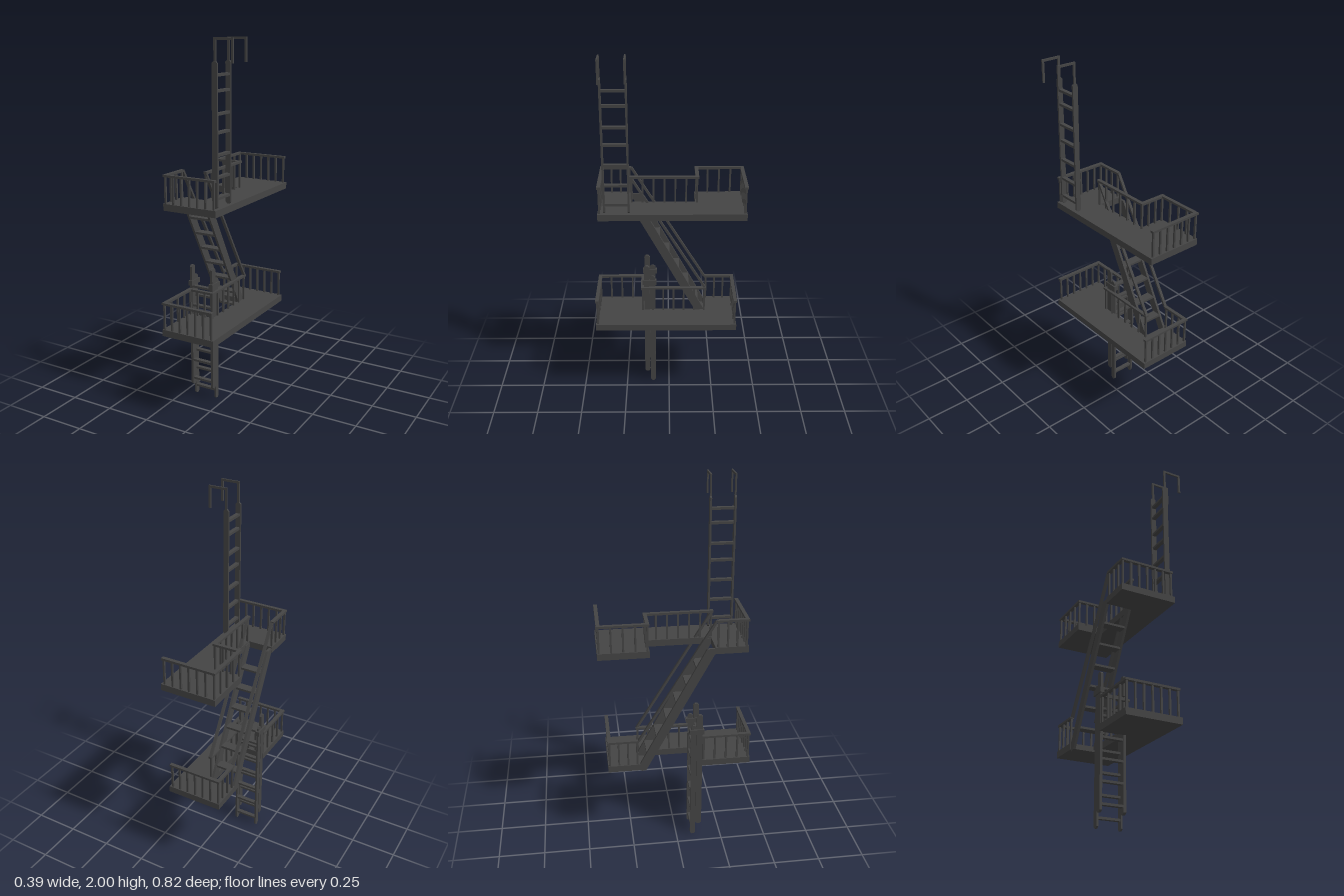
import * as THREE from 'three';

const metal = new THREE.MeshStandardMaterial({ color: 0x444444 });

function add(parent, name, geometry, x = 0, y = 0, z = 0) {
  const mesh = new THREE.Mesh(geometry, metal);
  mesh.name = name;
  mesh.position.set(x, y, z);
  parent.add(mesh);
  return mesh;
}

function group(parent, name) {
  const g = new THREE.Group();
  g.name = name;
  parent.add(g);
  return g;
}

const box = (w, h, d) => new THREE.BoxGeometry(w, h, d);

// Square bar between two points
function bar(parent, name, a, b, w, h) {
  const from = new THREE.Vector3(...a), to = new THREE.Vector3(...b);
  const mesh = add(parent, name, box(w, h, from.distanceTo(to)));
  mesh.position.copy(from).lerp(to, 0.5);
  mesh.lookAt(to);
  return mesh;
}

// Extrudes a side profile of [z, y] points along x, centred on x = 0
function sideProfile(points, width) {
  const shape = new THREE.Shape(points.map(p => new THREE.Vector2(...p)));
  return new THREE.ExtrudeGeometry(shape, { depth: width, bevelEnabled: false })
    .rotateY(-Math.PI / 2).translate(width / 2, 0, 0);
}

// Upright with chamfered ends
function stile(width, depth, y0, y1) {
  const d = depth / 2, c = depth * 0.3;
  return sideProfile([[-d, y0 + c], [-d + c, y0], [d - c, y0], [d, y0 + c],
    [d, y1 - c], [d - c, y1], [-d + c, y1], [-d, y1 - c]], width);
}

// Top rail with evenly spaced balusters between two [x, z] ends
function railing(parent, a, b, floor, count) {
  const top = floor + 0.15;
  const dir = new THREE.Vector2(b[0] - a[0], b[1] - a[1]).normalize().multiplyScalar(0.01);
  bar(parent, 'topRail', [a[0] - dir.x, top - 0.006, a[1] - dir.y],
    [b[0] + dir.x, top - 0.006, b[1] + dir.y], 0.02, 0.012);
  for (let i = 0; i < count; i++) {
    const t = i / (count - 1);
    add(parent, 'baluster', box(0.01, 0.145, 0.01),
      a[0] + (b[0] - a[0]) * t, floor + 0.0695, a[1] + (b[1] - a[1]) * t);
  }
}

// Notched platform with railings; s = -1 mirrors it front to back
function platform(root, name, floor, s) {
  const g = group(root, name);
  const outline = [[-0.194, -0.408], [0.117, -0.408], [0.117, 0.374], [-0.194, 0.374],
    [-0.194, 0.2], [-0.055, 0.2], [-0.055, -0.14], [-0.194, -0.14]];
  const shape = new THREE.Shape(outline.map(([x, z]) => new THREE.Vector2(x, z * s)));
  add(g, 'deck', new THREE.ExtrudeGeometry(shape, { depth: 0.036, bevelEnabled: false })
    .rotateX(Math.PI / 2), 0, floor, 0);

  const runs = [
    [[-0.185, -0.398], [0.1, -0.398], 7],   // far end
    [[-0.185, -0.398], [-0.185, -0.15], 5], // outer side
    [[-0.185, -0.15], [-0.045, -0.15], 4],  // across the opening
    [[-0.045, -0.15], [-0.045, 0.2], 7],    // along the opening
    [[-0.185, 0.215], [-0.185, 0.364], 4],  // outer side
    [[-0.185, 0.364], [0.1, 0.364], 7],     // near end
  ];
  for (const [a, b, n] of runs) railing(g, [a[0], a[1] * s], [b[0], b[1] * s], floor, n);
}

// Ladder section spanning x, with two stiles and round-the-height rungs
function dropSection(root, name, z, depth, y0, y1, width, firstRung) {
  const g = group(root, name);
  for (const x of [-0.184, -0.055]) add(g, 'stile', stile(width, depth, y0, y1), x, 0, z);
  for (let y = firstRung; y < y1 - 0.03; y += 0.11) {
    add(g, 'rung', box(0.129, 0.012, depth * 0.75), -0.1195, y, z);
  }
}

export function createModel() {
  const root = new THREE.Group();
  root.name = 'fireEscape';

  platform(root, 'upperPlatform', 1.175, 1);
  platform(root, 'lowerPlatform', 0.5, -1);

  // Steep stair between the platforms
  const stair = group(root, 'stair');
  const stringer = [[0.2, 1.14], [0.2, 1.168], [0.158, 1.168], [0.143, 1.14],
    [-0.2, 0.5], [-0.205, 0.465], [-0.19, 0.456], [-0.168, 0.46]];
  for (const x of [-0.185, -0.054]) {
    add(stair, 'stringer', sideProfile(stringer, 0.013), x);
  }
  for (const x of [-0.185, -0.045]) {
    bar(stair, 'handrail', [x, 1.32, 0.205], [x, 0.645, -0.205], 0.016, 0.012);
  }
  for (let i = 0; i < 7; i++) {
    add(stair, 'tread', box(0.125, 0.012, 0.05), -0.1195, 1.054 - i * 0.098, 0.128 - i * 0.0535);
  }

  // Sliding drop ladder in two overlapping sections, held by clamps
  dropSection(root, 'fixedLadderSection', 0.126, 0.032, 0.07, 0.782, 0.014, 0.11);
  dropSection(root, 'slidingLadderSection', 0.094, 0.03, 0, 0.718, 0.01, 0.05);
  const clamps = group(root, 'ladderClamps');
  for (const x of [-0.185, -0.055]) {
    add(clamps, 'clamp', box(0.024, 0.028, 0.08), x, 0.68, 0.11);
  }

  // Roof ladder with hooked tops
  const roof = group(root, 'roofLadder');
  for (const z of [0.21, 0.338]) {
    const side = add(roof, 'stile', stile(0.01, 0.03, 1.178, 1.89), 0.095, 0, z);
    side.rotation.y = Math.PI / 2;
    add(roof, 'hookPost', box(0.012, 0.12, 0.008), 0.096, 1.94, z);
    add(roof, 'hookArm', box(0.107, 0.012, 0.008), 0.1435, 1.994, z);
    add(roof, 'hookEnd', box(0.012, 0.11, 0.008), 0.191, 1.937, z);
  }
  for (const y of [1.225, 1.33, 1.44, 1.55, 1.64, 1.75, 1.825]) {
    add(roof, 'rung', box(0.022, 0.013, 0.128), 0.095, y, 0.274);
  }

  return root;
}
